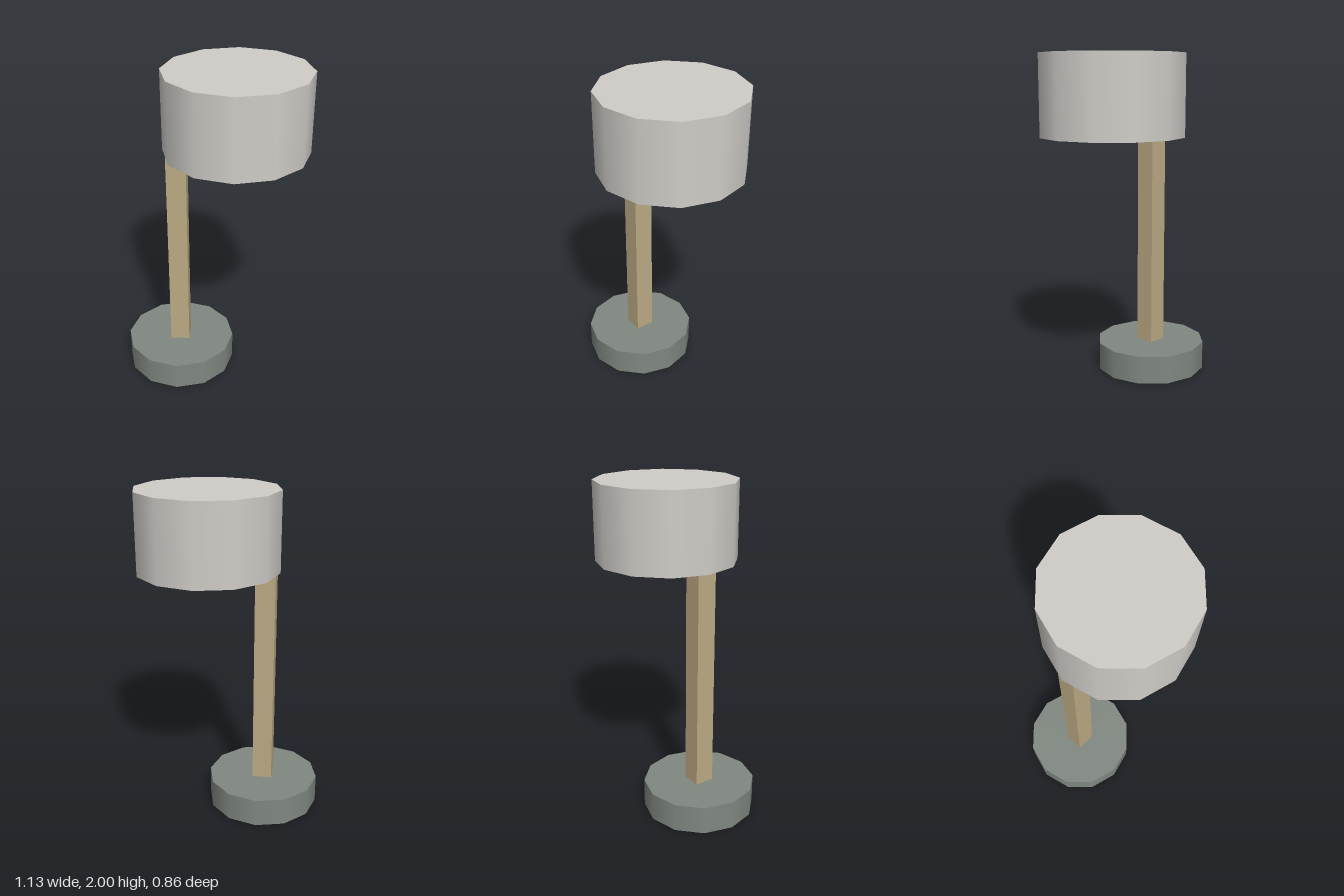
import * as THREE from 'three';

const SHADE_X = 0.13;
const POST_X = -0.22;

function addPart(group, name, geometry, color, x, bottom, top) {
  const mesh = new THREE.Mesh(geometry, new THREE.MeshStandardMaterial({ color }));
  mesh.name = name;
  mesh.position.set(x, (bottom + top) / 2, 0);
  group.add(mesh);
}

// Twelve-sided drum, smooth around the side with sharp rims
const drum = (radius, height) => new THREE.CylinderGeometry(radius, radius, height, 12);

export function createModel() {
  const model = new THREE.Group();
  model.name = 'lamp';

  // Heavy round foot
  addPart(model, 'base', drum(0.345, 0.175), 0x808880, POST_X, 0, 0.175);

  // Square wooden post
  addPart(model, 'post', new THREE.BoxGeometry(0.12, 1.345, 0.12), 0xbcaa84, POST_X, 0.175, 1.52);

  // Closed shade, offset to the side of the post
  addPart(model, 'shade', drum(0.432, 0.48), 0xd0cdc8, SHADE_X, 1.52, 2);

  return model;
}
